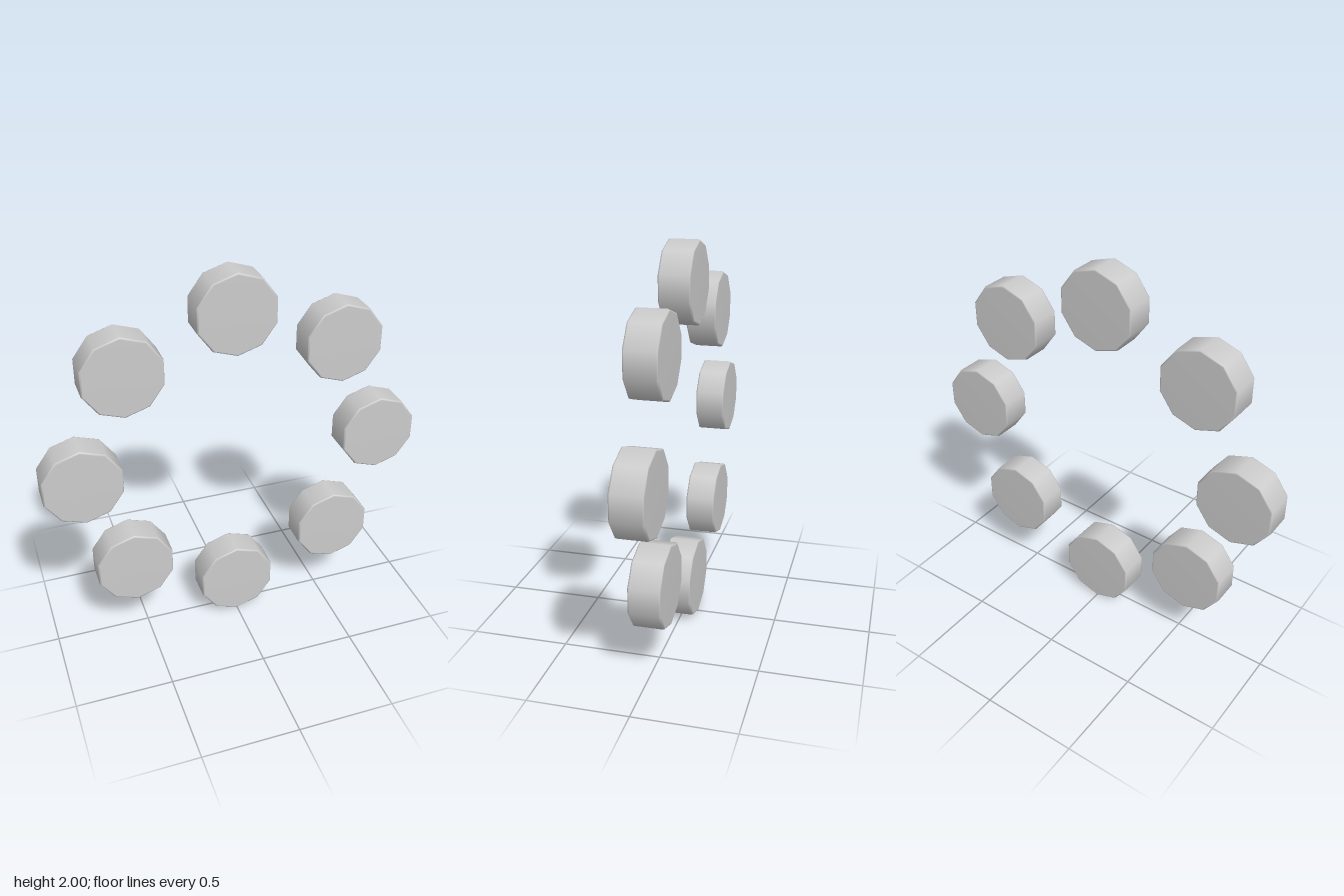
import * as THREE from 'three';

const COUNT = 8, RING = 0.791, RADIUS = 0.209, HALF = 0.08, BEVEL = 0.01;

// Ten-sided disc with a small rounded rim, axis along z, a corner at the top
function discGeometry() {
  const profile = [new THREE.Vector2(0, -HALF)];
  const rim = (a, end) => profile.push(new THREE.Vector2(
    RADIUS - BEVEL + BEVEL * Math.cos(a),
    end * (HALF - BEVEL) + BEVEL * Math.sin(a)));
  for (let i = 0; i <= 2; i++) rim(-Math.PI / 2 + i * Math.PI / 4, -1);
  for (let i = 0; i <= 2; i++) rim(i * Math.PI / 4, 1);
  profile.push(new THREE.Vector2(0, HALF));
  return new THREE.LatheGeometry(profile, 10).rotateX(Math.PI / 2);
}

export function createModel() {
  const group = new THREE.Group();
  group.name = 'discRing';
  const material = new THREE.MeshStandardMaterial({ color: 0xcccccc });
  const geometry = discGeometry();

  // Upright ring of discs, all keeping the same orientation
  for (let i = 0; i < COUNT; i++) {
    const angle = (i / COUNT) * Math.PI * 2;
    const disc = new THREE.Mesh(geometry, material);
    disc.name = `disc${i + 1}`;
    disc.position.set(RING * Math.sin(angle), 1 + RING * Math.cos(angle), 0);
    group.add(disc);
  }
  return group;
}
